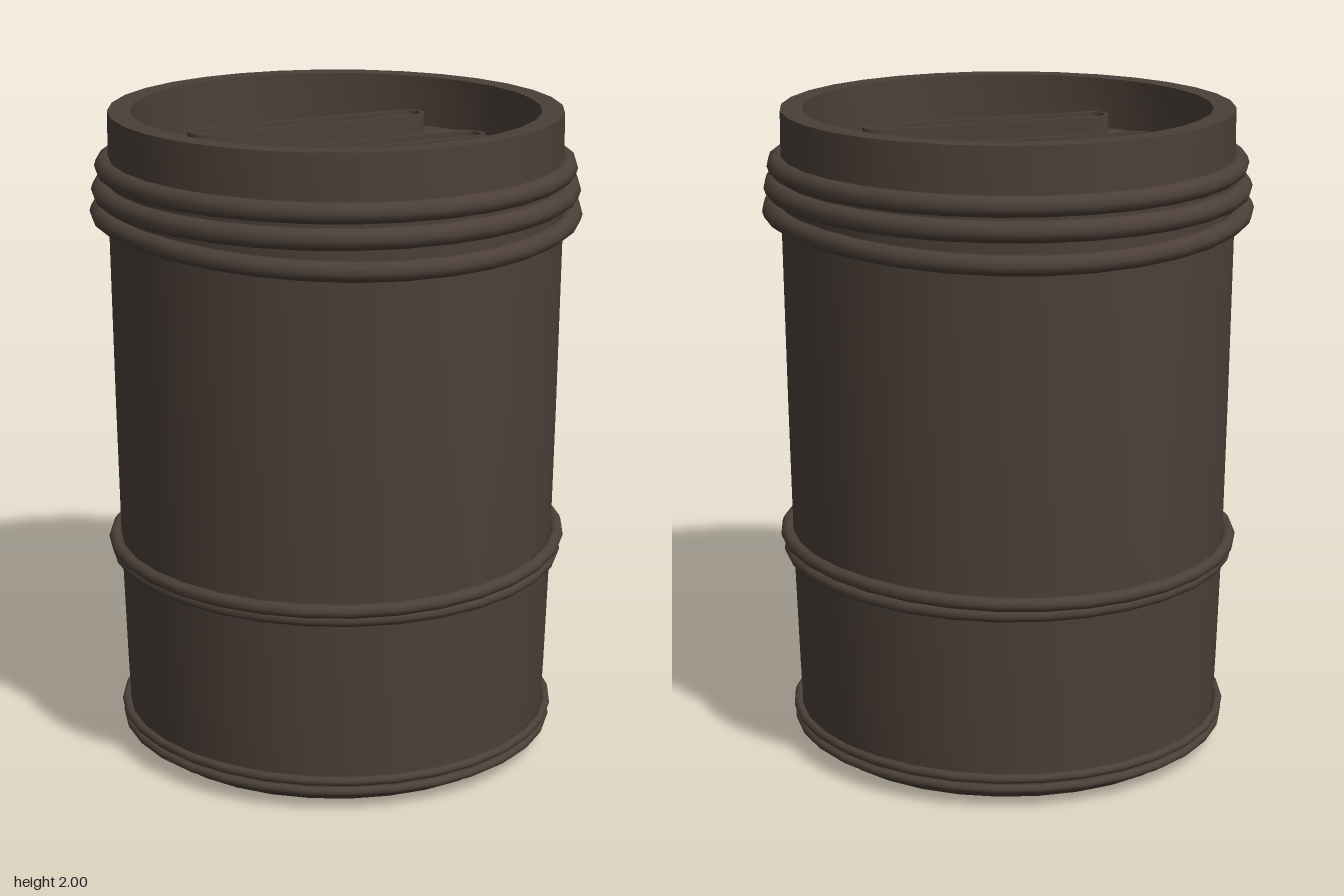
import * as THREE from 'three';
import { toCreasedNormals } from 'three/addons/utils/BufferGeometryUtils.js';

const SEGMENTS = 32;

// Stadium outline lying along x
function stadium(target, halfLength, r) {
  const c = halfLength - r;
  target.moveTo(-c, -r);
  target.lineTo(c, -r);
  target.absarc(c, 0, r, -Math.PI / 2, Math.PI / 2, false);
  target.lineTo(-c, r);
  target.absarc(-c, 0, r, Math.PI / 2, Math.PI * 1.5, false);
  return target;
}

export function createModel() {
  const group = new THREE.Group();
  const brown = new THREE.MeshStandardMaterial({ color: 0x4c4038 });
  brown.name = 'dark brown';

  const add = (name, geometry, x = 0, y = 0, z = 0) => {
    const mesh = new THREE.Mesh(geometry, brown);
    mesh.name = name;
    mesh.position.set(x, y, z);
    group.add(mesh);
    return mesh;
  };

  // Barrel wall with chamfered base, flat rim and sunken lid
  const profile = [
    [0, 0], [0.61, 0.01], [0.655, 0.05], [0.663, 0.25], [0.675, 0.63], [0.683, 1.1],
    [0.69, 1.65], [0.688, 2], [0.62, 2], [0.62, 1.84], [0, 1.84],
  ].map(([r, y]) => new THREE.Vector2(r, y));
  add('barrelBody', toCreasedNormals(new THREE.LatheGeometry(profile, SEGMENTS), 0.5));

  // Hoops: height, ring radius, thickness, sideways tilt, front-to-side wave
  const hoops = [
    ['upperHoop', 1.833, 0.700, 0.031, 0, 0.002],
    ['upperHoop', 1.763, 0.710, 0.032, 0.003, 0.003],
    ['upperHoop', 1.682, 0.718, 0.030, 0, 0.016],
    ['middleHoop', 0.656, 0.693, 0.021, 0.011, 0.008],
    ['middleHoop', 0.619, 0.685, 0.019, 0.002, 0.005],
    ['baseHoop', 0.098, 0.671, 0.014, 0, 0.004],
    ['baseHoop', 0.062, 0.667, 0.014, 0, 0.003],
  ];
  for (const [name, y, radius, thickness, tilt, wave] of hoops) {
    const ring = new THREE.TorusGeometry(radius, thickness, 10, SEGMENTS);
    ring.rotateX(-Math.PI / 2);
    const p = ring.attributes.position;
    for (let i = 0; i < p.count; i++) {
      const a = Math.atan2(p.getZ(i), p.getX(i));
      p.setY(i, p.getY(i) + tilt * Math.cos(a) + wave * Math.cos(2 * (a - 0.17)));
    }
    add(name, ring, 0, y, 0);
  }

  // Two raised grips on the lid, each with a shallow slot along the top
  const outer = stadium(new THREE.Shape(), 0.4, 0.052);
  outer.holes.push(stadium(new THREE.Path(), 0.388, 0.037));
  const gripWall = new THREE.ExtrudeGeometry(outer, { depth: 0.085, bevelEnabled: false, curveSegments: 10 });
  gripWall.rotateX(-Math.PI / 2);
  const gripTop = new THREE.ShapeGeometry(stadium(new THREE.Shape(), 0.388, 0.037), 10);
  gripTop.rotateX(-Math.PI / 2);
  for (const z of [-0.195, 0.19]) {
    add('lidGrip', toCreasedNormals(gripWall, 0.6), 0, 1.84, z);
    add('lidGripSlot', gripTop, 0, 1.905, z);
  }

  return group;
}
